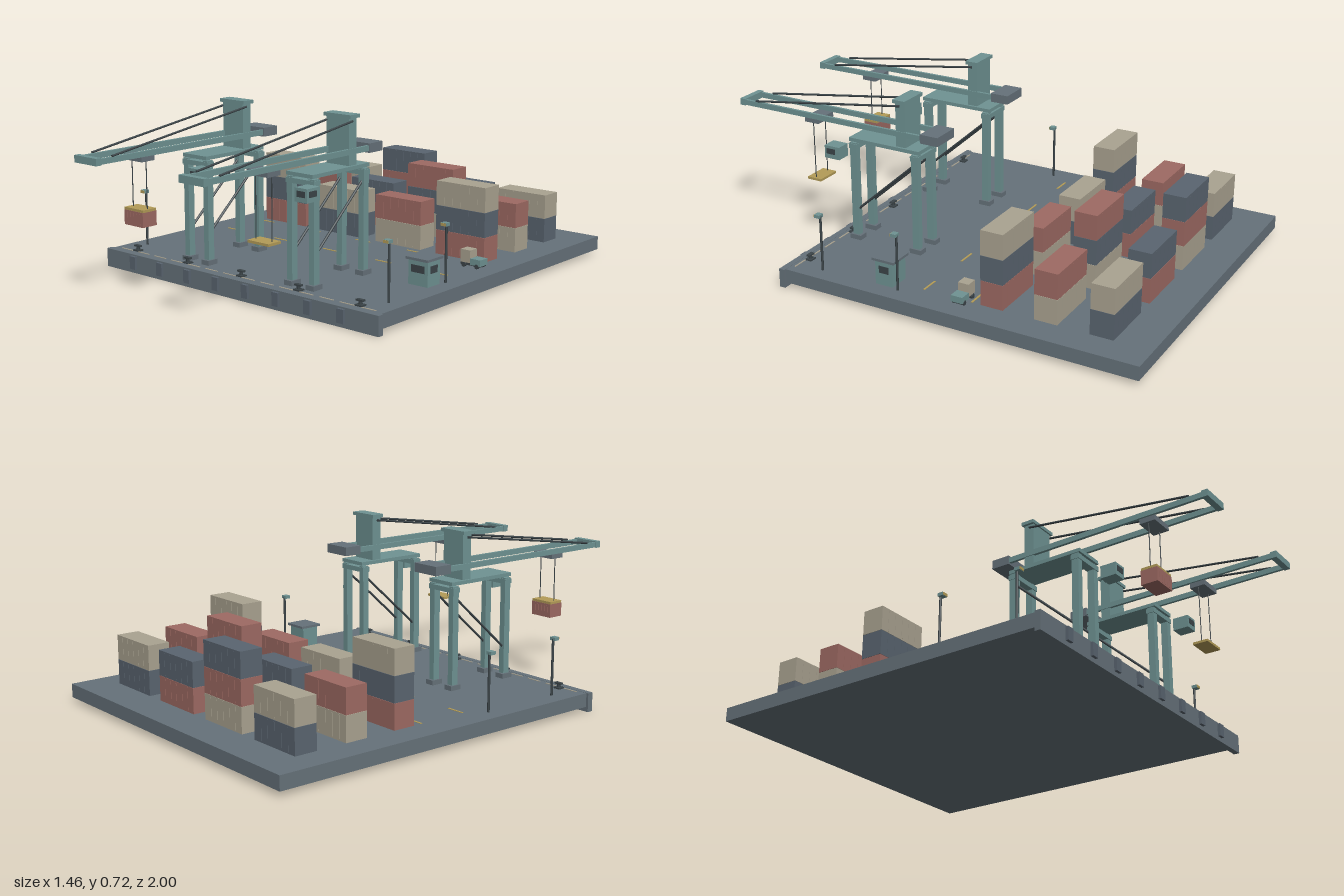
import * as THREE from 'three';

const mat = (name, color) => {
  const m = new THREE.MeshStandardMaterial({ color });
  m.name = name;
  return m;
};

export function createModel() {
  const M = {
    concrete: mat('concrete', 0x66727a),
    navy: mat('slate blue', 0x5a6570),
    teal: mat('teal', 0x6f9393),
    red: mat('brick red', 0x9e6a63),
    beige: mat('beige', 0xaaa391),
    dark: mat('dark steel', 0x3c4549),
    yellow: mat('ochre', 0xb39c58),
  };
  const root = new THREE.Group();
  root.name = 'containerPort';
  const DECK = 0.077;

  const group = (name, parent = root) => {
    const g = new THREE.Group();
    g.name = name;
    parent.add(g);
    return g;
  };
  // box given by its extents on each axis
  const box = (name, m, [x0, x1], [y0, y1], [z0, z1], parent = root) => {
    const mesh = new THREE.Mesh(new THREE.BoxGeometry(x1 - x0, y1 - y0, z1 - z0), m);
    mesh.position.set((x0 + x1) / 2, (y0 + y1) / 2, (z0 + z1) / 2);
    mesh.name = name;
    parent.add(mesh);
    return mesh;
  };
  const around = (c, half) => [c - half, c + half];
  // round bar between two points
  const bar = (name, m, a, b, r, parent = root) => {
    const p = new THREE.Vector3(...a), q = new THREE.Vector3(...b);
    const d = q.clone().sub(p);
    const mesh = new THREE.Mesh(new THREE.CylinderGeometry(r, r, d.length(), 8), m);
    mesh.position.copy(p).add(q).multiplyScalar(0.5);
    mesh.quaternion.setFromUnitVectors(new THREE.Vector3(0, 1, 0), d.normalize());
    mesh.name = name;
    parent.add(mesh);
  };

  // quay slab, front wall and fenders
  box('quaySlab', M.concrete, [-0.72, 0.72], [0.02, DECK], [-1, 0.51]);
  box('quayWall', M.concrete, [-0.73, 0.73], [0, DECK + 0.001], [0.51, 0.535]);
  for (let i = 0; i < 8; i++) {
    box('fender', M.dark === null ? M.dark : M.navy, around(-0.56 + i * 0.16, 0.016), [0.018, 0.072], [0.53, 0.547]);
  }

  // painted markings
  for (let i = 0; i < 5; i++) {
    for (const z of [-0.265, -0.055]) {
      box('laneMark', M.yellow, around(-0.56 + i * 0.28, 0.04), [DECK, DECK + 0.002], around(z, 0.004));
    }
  }
  for (let i = 0; i < 14; i++) {
    box('edgeMark', M.beige, around(-0.65 + i * 0.1, 0.034), [DECK, DECK + 0.002], around(0.492, 0.003));
  }

  // bollards
  for (let i = 0; i < 5; i++) {
    const x = -0.6 + i * 0.3, g = group('bollard');
    box('bollardBase', M.dark, around(x, 0.016), [DECK, DECK + 0.006], around(0.478, 0.014), g);
    bar('bollardStem', M.dark, [x, DECK, 0.478], [x, 0.1, 0.478], 0.007, g);
    box('bollardHead', M.dark, around(x, 0.016), [0.095, 0.102], around(0.478, 0.008), g);
  }

  // container stacks, listed bottom to top
  const container = (name, m, x, y, z, w, h, d, parent) => {
    const g = group(name, parent);
    box('containerBody', m, around(x, w / 2), [y, y + h], around(z, d / 2), g);
    for (let i = 1; i < 6; i++) {
      const rx = x - w / 2 + (i * w) / 6;
      for (const s of [-1, 1]) {
        box('containerRib', m, around(rx, 0.002), [y + 0.006, y + h - 0.006], around(z + s * d / 2, 0.001), g);
      }
    }
  };
  const stacks = [
    { z: -0.35, columns: ['red navy beige', 'navy beige', 'beige red', 'red navy beige'] },
    { z: -0.575, columns: ['beige red', 'red navy', 'beige navy red', 'beige red'] },
    { z: -0.8, columns: ['navy beige', 'beige red navy', 'red navy', 'navy beige'] },
  ];
  for (const { z, columns } of stacks) {
    columns.forEach((list, c) => {
      const g = group('containerStack');
      list.split(' ').forEach((k, i) =>
        container('container', M[k], -0.48 + c * 0.32, DECK + i * 0.103, z, 0.24, 0.102, 0.095, g));
    });
  }

  // ship-to-shore crane; loadY is the spreader height
  const crane = (cx, trolleyZ, loadY, loaded) => {
    const g = group('quayCrane');
    g.position.x = cx;
    for (const s of [-1, 1]) {
      for (const z of [0.43, 0.14]) {
        box('bogie', M.concrete, around(s * 0.055, 0.02), [DECK, 0.097], around(z, 0.026), g);
        box('leg', M.teal, around(s * 0.055, 0.013), [0.097, 0.5], around(z, 0.015), g);
      }
      bar('diagonalBrace', M.dark, [s * 0.055, 0.21, 0.42], [s * 0.055, 0.46, 0.14], 0.005, g);
      box('boomRail', M.teal, around(s * 0.053, 0.006), [0.562, 0.584], [0.06, 0.99], g);
      bar('boomStay', M.dark, [s * 0.057, 0.587, 0.92], [s * 0.057, 0.69, 0.21], 0.0045, g);
    }
    for (const z of [0.43, 0.14]) {
      box('portalBeam', M.teal, [-0.071, 0.071], [0.475, 0.495], around(z, 0.018), g);
    }
    box('platform', M.teal, [-0.066, 0.066], [0.504, 0.519], [0.12, 0.45], g);
    box('tower', M.teal, [-0.056, 0.056], [0.519, 0.702], [0.186, 0.23], g);
    box('towerCap', M.teal, [-0.067, 0.067], [0.702, 0.716], [0.18, 0.236], g);
    box('boomTip', M.teal, [-0.062, 0.062], [0.56, 0.588], [0.975, 1], g);
    box('counterweight', M.concrete, [-0.063, 0.063], [0.555, 0.592], [0.035, 0.115], g);

    // operator cabin
    box('cabin', M.teal, [0.054, 0.115], [0.433, 0.486], [0.466, 0.535], g);
    box('cabinWindow', M.dark, [0.064, 0.105], [0.452, 0.475], [0.534, 0.537], g);
    box('cabinSideWindow', M.dark, [0.114, 0.117], [0.452, 0.475], [0.485, 0.525], g);

    // trolley, cables, spreader and load
    box('trolley', M.concrete, [-0.052, 0.052], [0.541, 0.563], around(trolleyZ, 0.033), g);
    for (const s of [-1, 1]) {
      bar('hoistCable', M.dark, [s * 0.04, loadY, trolleyZ], [s * 0.04, 0.545, trolleyZ], 0.002, g);
    }
    box('spreader', M.yellow, [-0.053, 0.053], [loadY, loadY + 0.01], around(trolleyZ, 0.033), g);
    if (loaded) container('liftedContainer', M.red, 0, loadY - 0.058, trolleyZ, 0.105, 0.058, 0.07, g);
  };
  crane(-0.28, 0.74, 0.345, true);
  crane(0.28, 0.642, 0.288, false);

  // gate office
  const office = group('office');
  box('officeBody', M.teal, [0.553, 0.645], [DECK, 0.177], [0.058, 0.135], office);
  box('officeRoof', M.concrete, [0.546, 0.652], [0.177, 0.187], [0.047, 0.146], office);
  box('officeWindow', M.dark, [0.568, 0.63], [0.128, 0.157], [0.134, 0.137], office);
  box('officeSideWindow', M.dark, [0.644, 0.647], [0.128, 0.157], [0.075, 0.118], office);

  // yard truck
  const truck = group('truck');
  box('truckChassis', M.dark, [0.552, 0.648], [0.086, 0.096], [-0.248, -0.208], truck);
  box('truckCab', M.teal, [0.602, 0.65], [0.09, 0.116], [-0.254, -0.204], truck);
  box('truckCargo', M.beige, [0.553, 0.6], [0.096, 0.148], [-0.252, -0.206], truck);
  for (const x of [0.57, 0.632]) {
    for (const z of [-0.25, -0.208]) {
      bar('truckWheel', M.dark, [x, 0.087, z - 0.005], [x, 0.087, z + 0.005], 0.01, truck);
    }
  }

  // lamp posts
  for (const x of [-0.652, 0.652]) {
    for (const z of [0.03, 0.38]) {
      const g = group('lampPost');
      bar('lampPole', M.dark, [x, DECK, z], [x, 0.308, z], 0.005, g);
      box('lampHead', M.teal, around(x, 0.013), [0.302, 0.315], [z - 0.004, z + 0.02], g);
      box('lampGlass', M.yellow, around(x, 0.012), [0.303, 0.314], [z + 0.019, z + 0.022], g);
    }
  }
  return root;
}
